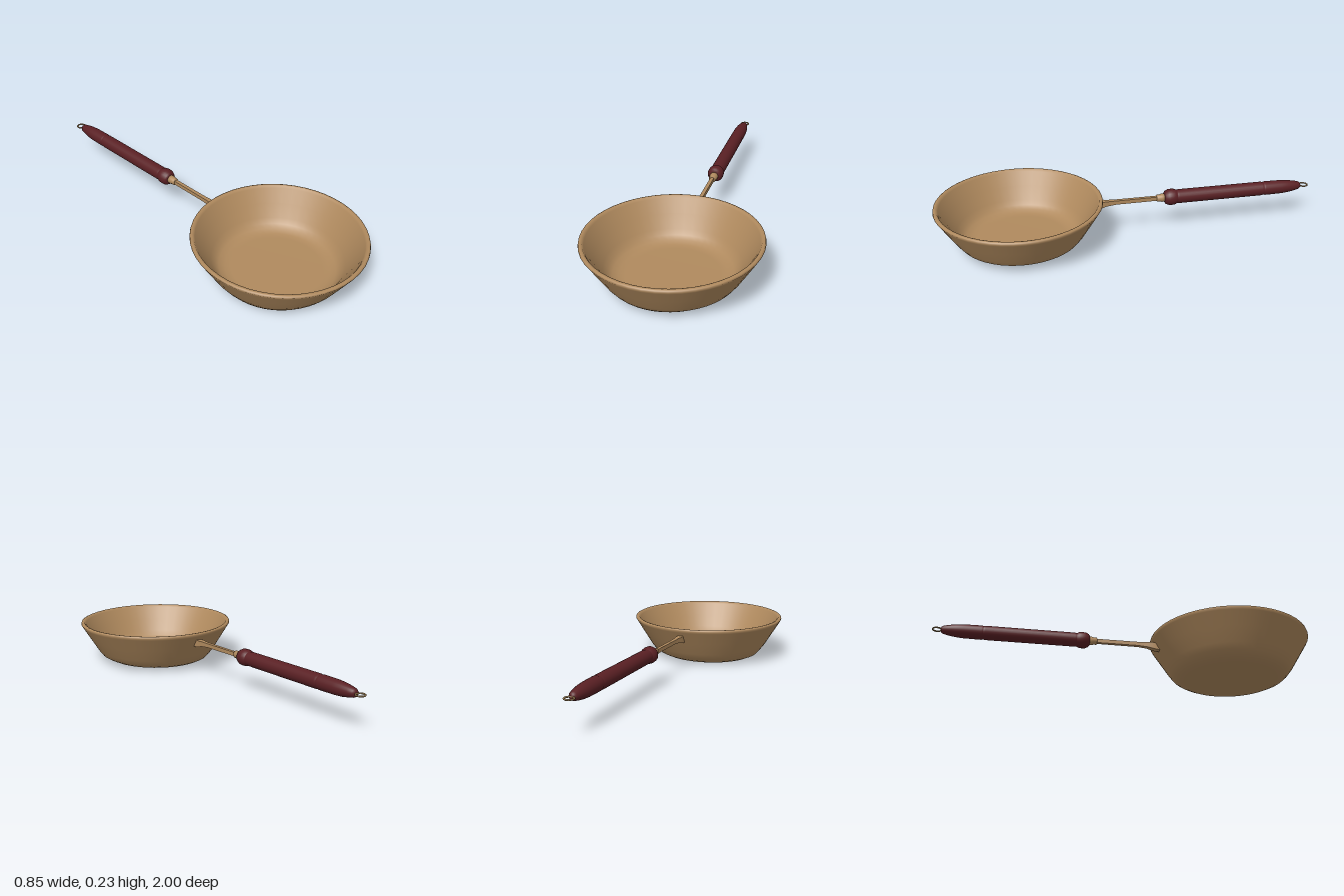
import * as THREE from 'three';

const material = (name, color) => {
  const m = new THREE.MeshStandardMaterial({ color });
  m.name = name;
  return m;
};

const points = (list) => list.map(([x, y]) => new THREE.Vector2(x, y));

export function createModel() {
  const group = new THREE.Group();
  const tan = material('tan metal', 0xb08a5e);
  const maroon = material('maroon wood', 0x5a2024);
  const brass = material('dull brass', 0x94784e);
  const axisY = 0.178;

  const add = (name, geometry, mat) => {
    const mesh = new THREE.Mesh(geometry, mat);
    mesh.name = name;
    group.add(mesh);
    return mesh;
  };

  // Turned part along the handle axis; profile is [radius, distance behind centre]
  const turned = (name, profile, mat) => {
    const geometry = new THREE.LatheGeometry(points(profile), 24);
    geometry.rotateX(-Math.PI / 2);
    geometry.translate(0, axisY, 0);
    return add(name, geometry, mat);
  };

  // Bowl: outer wall up to the rounded rim, then down the inside to the floor
  const bowl = new THREE.LatheGeometry(points([
    [0, 0.006], [0.23, 0.006], [0.265, 0.012], [0.295, 0.026], [0.315, 0.044], [0.337, 0.073],
    [0.38, 0.143], [0.421, 0.21], [0.427, 0.22], [0.425, 0.228], [0.418, 0.231], [0.408, 0.229],
    [0.402, 0.219], [0.363, 0.153], [0.324, 0.087], [0.304, 0.06], [0.284, 0.043], [0.255, 0.033],
    [0.225, 0.03], [0, 0.03],
  ]), 48);
  // Slightly uneven underside
  const bp = bowl.attributes.position;
  for (let i = 0; i < bp.count; i++) {
    if (bp.getY(i) < 0.027) bp.setY(i, bp.getY(i) + 0.02 * bp.getX(i));
  }
  bowl.translate(0, 0, 0.57);
  add('bowl', bowl, tan);

  // Shank: narrow bar flaring into a slanted foot on the bowl wall
  // [z of top edge, z of bottom edge, half width, top y, bottom y]
  const sections = [
    [-0.17, -0.17, 0.009, 0.188, 0.167],
    [0.07, 0.07, 0.010, 0.188, 0.167],
    [0.115, 0.12, 0.012, 0.189, 0.162],
    [0.14, 0.155, 0.017, 0.19, 0.153],
    [0.168, 0.188, 0.013, 0.19, 0.149],
  ];
  const shank = new THREE.BoxGeometry(1, 1, 1, 1, 1, sections.length - 1);
  const sp = shank.attributes.position;
  for (let i = 0; i < sp.count; i++) {
    const [zt, zb, w, yt, yb] = sections[Math.round((sp.getZ(i) + 0.5) * (sections.length - 1))];
    const top = sp.getY(i) > 0;
    sp.setXYZ(i, Math.sign(sp.getX(i)) * w, top ? yt : yb, top ? zt : zb);
  }
  shank.computeVertexNormals();
  add('shank', shank, tan);

  // Ferrule between shank and grip
  turned('ferrule', [
    [0, 0.148], [0.014, 0.148], [0.019, 0.153], [0.019, 0.168], [0.022, 0.174], [0.022, 0.195], [0, 0.2],
  ], tan);

  // Turned wooden grip with front collar, small grooves and tapered end
  turned('grip', [
    [0, 0.19], [0.026, 0.19], [0.035, 0.197], [0.042, 0.212], [0.043, 0.232], [0.041, 0.247],
    [0.036, 0.256], [0.035, 0.26], [0.037, 0.268], [0.037, 0.73], [0.035, 0.738], [0.035, 0.743],
    [0.037, 0.75], [0.036, 0.84], [0.033, 0.88], [0.027, 0.917], [0.021, 0.943], [0.014, 0.953], [0, 0.955],
  ], maroon);

  // Flat hanging ring
  const ring = new THREE.TorusGeometry(0.022, 0.004, 10, 28);
  ring.rotateX(Math.PI / 2);
  ring.translate(0, axisY, -0.974);
  add('hangingRing', ring, brass);

  return group;
}
